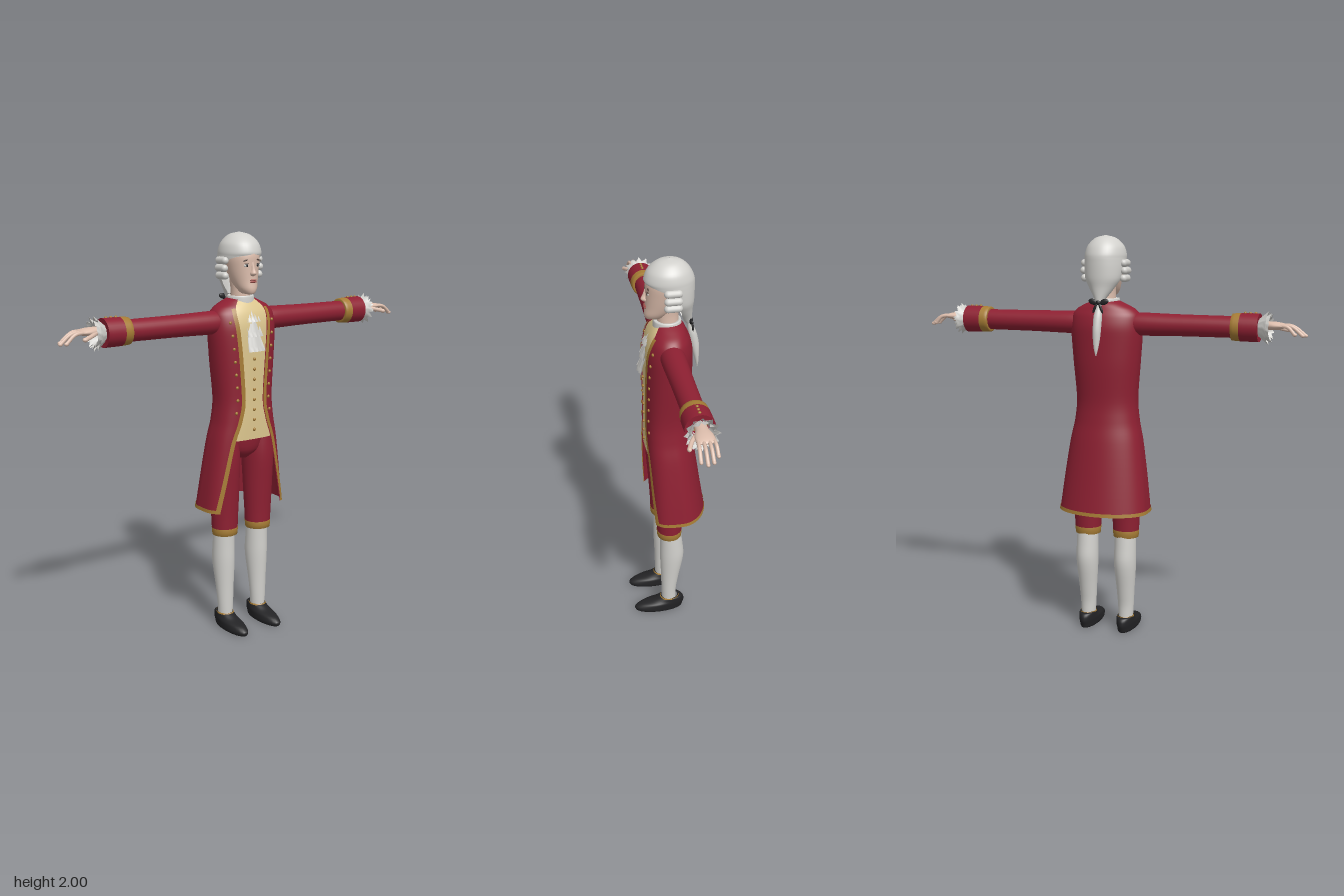
import * as THREE from 'three';
import { mergeVertices } from 'three/addons/utils/BufferGeometryUtils.js';

const PI = Math.PI;
const paint = (name, color, side = THREE.FrontSide) => {
  const m = new THREE.MeshStandardMaterial({ color, side });
  m.name = name;
  return m;
};

// Smooth monotone interpolation of a list of cross-section rows
function sample(rows, t) {
  const last = rows.length - 1, i = Math.min(Math.floor(t), last - 1), f = t - i;
  const slope = (j, k) => {
    const p = j > 0 ? rows[j][k] - rows[j - 1][k] : null;
    const q = j < last ? rows[j + 1][k] - rows[j][k] : null;
    if (p === null) return q;
    if (q === null) return p;
    return p * q <= 0 ? 0 : 2 * p * q / (p + q);
  };
  return rows[i].map((a, k) => {
    const b = rows[i + 1][k], f2 = f * f, f3 = f2 * f;
    return a * (2 * f3 - 3 * f2 + 1) + b * (3 * f2 - 2 * f3)
      + slope(i, k) * (f3 - 2 * f2 + f) + slope(i + 1, k) * (f3 - f2);
  });
}

// Surface from fn(u, v) -> [x, y, z]
function grid(fn, nu, nv) {
  const pos = [], idx = [];
  for (let j = 0; j <= nv; j++) for (let i = 0; i <= nu; i++) pos.push(...fn(i / nu, j / nv, i));
  for (let j = 0; j < nv; j++) for (let i = 0; i < nu; i++) {
    const a = j * (nu + 1) + i, b = a + 1, c = a + nu + 1, d = c + 1;
    idx.push(a, b, d, a, d, c);
  }
  let g = new THREE.BufferGeometry();
  g.setAttribute('position', new THREE.Float32BufferAttribute(pos, 3));
  g.setIndex(idx);
  g = mergeVertices(g, 1e-5);
  g.computeVertexNormals();
  return g;
}

// Row: [y, half width, front z, back z, front squareness, opening]
function ringPoint(r, th, off = 0) {
  const [y, rx, zf, zb, n = 2] = r, s = Math.sin(th), c = Math.cos(th), e = c > 0 ? 2 / n : 1;
  return [(rx + off) * Math.sign(s) * Math.abs(s) ** e, y,
    (zf + zb) / 2 + ((zf - zb) / 2 + off) * Math.sign(c) * Math.abs(c) ** e];
}
const thetaAt = (r, x) => Math.asin(Math.min(1, x / r[1]) ** ((r[4] ?? 2) / 2));

function loft(rows, { seg = 32, per = 4, off = 0, t0 = 0, t1 = rows.length - 1, from = () => 0, to = r => 2 * PI - from(r) } = {}) {
  const nv = Math.max(2, Math.ceil((t1 - t0) * per));
  return grid((u, v) => {
    const r = sample(rows, t0 + (t1 - t0) * v), a = from(r);
    return ringPoint(r, a + (to(r) - a) * u, off);
  }, seg, nv);
}

function findT(rows, y) {
  let a = 0, b = rows.length - 1;
  for (let i = 0; i < 30; i++) {
    const m = (a + b) / 2;
    if (sample(rows, m)[0] < y) a = m; else b = m;
  }
  return a;
}
const frontZ = (rows, x, y) => {
  const r = sample(rows, findT(rows, y));
  return ringPoint(r, thetaAt(r, Math.abs(x)))[2];
};

export function createModel() {
  const red = paint('red cloth', 0x8e2032, THREE.DoubleSide);
  const gold = paint('gold trim', 0xa67c35, THREE.DoubleSide);
  const cream = paint('cream waistcoat', 0xdcc68e, THREE.DoubleSide);
  const white = paint('white linen', 0xd2d1cd, THREE.DoubleSide);
  const skin = paint('skin', 0xdcbdac);
  const black = paint('black', 0x232325);
  const brown = paint('brown brows', 0x55443d);
  const lip = paint('lips', 0xa0524e);

  const model = new THREE.Group();
  model.name = 'courtier';
  const add = (name, geo, mat, parent = model) => {
    const m = new THREE.Mesh(geo, mat);
    m.name = name;
    parent.add(m);
    return m;
  };
  const ball = (name, mat, p, s, parent = model, rz = 0) => {
    const m = add(name, new THREE.SphereGeometry(1, 14, 10), mat, parent);
    m.position.set(...p);
    m.scale.set(...s);
    m.rotation.z = rz;
    return m;
  };

  // Coat, open at the front
  const coat = [
    [.64, .228, .105, -.19, 4, .185], [.8, .21, .11, -.165, 3.6, .15], [1, .182, .114, -.135, 3.2, .105],
    [1.1, .162, .115, -.118, 3, .07], [1.2, .154, .114, -.11, 2.8, .052], [1.4, .17, .115, -.12, 2.6, .065],
    [1.54, .18, .112, -.12, 2.5, .078], [1.61, .174, .098, -.108, 2.4, .085], [1.645, .15, .082, -.092, 2.2, .08],
    [1.67, .105, .066, -.08, 2, .06], [1.69, .06, .05, -.06, 2, .04]];
  const edge = r => thetaAt(r, r[5]), trimEdge = r => thetaAt(r, r[5] + .02);
  add('coat', loft(coat, { seg: 56, per: 5, from: edge }), red);
  add('coatHem', loft(coat, { seg: 56, t1: .11, off: .003, from: edge }), gold);
  add('coatTrimLeft', loft(coat, { seg: 3, t1: 8, per: 5, off: .004, from: edge, to: trimEdge }), gold);
  add('coatTrimRight', loft(coat, { seg: 3, t1: 8, per: 5, off: .004, from: r => 2 * PI - trimEdge(r), to: r => 2 * PI - edge(r) }), gold);

  // Waistcoat and buttons
  const under = r => thetaAt(r, r[5] + .02);
  add('waistcoat', loft(coat, { seg: 24, t0: 2, t1: 9.5, off: -.004, from: r => -under(r), to: under }), cream);
  for (let i = 0; i < 8; i++) {
    const yv = 1.05 + i * .05, yc = 1.14 + i * .063;
    ball('waistcoatButton', gold, [0, yv, frontZ(coat, 0, yv)], [.008, .008, .006]);
    const x = sample(coat, findT(coat, yc))[5] + .04;
    for (const s of [1, -1]) ball('coatButton', gold, [s * x, yc, frontZ(coat, x, yc) + .001], [.008, .008, .006]);
  }

  // Breeches seat
  add('breechesSeat', loft([[.89, .03, .04, -.05], [.94, .11, .08, -.09], [1.05, .14, .095, -.1], [1.15, .13, .09, -.09]]), red);

  // Legs
  for (const s of [1, -1]) {
    const leg = new THREE.Group();
    leg.name = s > 0 ? 'leftLeg' : 'rightLeg';
    leg.position.x = s * .103;
    model.add(leg);
    add('breechesLeg', loft([[.51, .05, .05, -.045], [.51, .064, .066, -.056], [.6, .069, .07, -.062], [.75, .075, .08, -.075], [.9, .077, .09, -.09], [1.02, .06, .085, -.09]]), red, leg);
    add('kneeBand', loft([[.5, .052, .05, -.05], [.502, .064, .067, -.057], [.538, .067, .07, -.06], [.541, .058, .06, -.05]], { per: 2 }), gold, leg);
    add('stocking', loft([[.05, .036, .045, -.032], [.12, .04, .046, -.031], [.22, .046, .048, -.045], [.37, .056, .053, -.071], [.45, .055, .052, -.064], [.53, .053, .052, -.055]]), white, leg);
    add('shoe', loft([[0, .001, .07, .05], [0, .042, .182, -.06], [.018, .048, .193, -.068], [.04, .048, .165, -.075], [.058, .044, .095, -.073], [.076, .041, .055, -.06], [.078, .034, .045, -.04]]), black, leg);
    add('shoeEdge', loft([[.073, .0425, .058, -.05], [.08, .0405, .051, -.045]]), gold, leg);
  }

  // Arms along x
  for (const s of [1, -1]) {
    const arm = new THREE.Group();
    arm.name = s > 0 ? 'leftArm' : 'rightArm';
    arm.position.y = 1.577;
    if (s < 0) arm.rotation.y = PI;
    model.add(arm);
    const along = (name, rows, mat, opt) => add(name, loft(rows.map(([x, a, b = a]) => [x, a, b, -b]), opt).rotateZ(-PI / 2), mat, arm);
    along('sleeve', [[.1, .035], [.13, .054, .056], [.19, .056, .058], [.4, .052, .053], [.64, .051, .05]], red);
    along('cuffBand', [[.63, .048], [.632, .063], [.672, .066]], gold, { per: 2 });
    along('cuff', [[.672, .066], [.76, .067]], red);
    along('cuffEnd', [[.76, .067], [.757, .035]], red, { per: 1 });
    for (let i = 0; i < 3; i++) ball('cuffButton', gold, [.69 + i * .025, .067, 0], [.007, .006, .007], arm);

    // Pleated lace at the wrist
    for (let k = 0; k < 2; k++) {
      const lace = grid((u, v, i) => {
        const a = (i % 24 + k * .5) / 24 * 2 * PI, up = i % 2 ? -1 : 1;
        const r = .034 + v * (.036 - k * .012 + up * .01);
        return [.748 + v * (.052 + k * .012 + up * .004), r * Math.cos(a), r * Math.sin(a)];
      }, 24, 3);
      add('wristLace', lace, white, arm);
    }

    // Hand and fingers
    const palm = along('palm', [[.74, .021, .026], [.79, .02, .029], [.83, .019, .04], [.865, .014, .042], [.885, .006, .034], [.888, .001, .01]], skin);
    palm.position.y = .012;
    const finger = (name, pts, r) => {
      const v = pts.map(p => new THREE.Vector3(p[0], p[1], p[2] * s));
      add(name, new THREE.TubeGeometry(new THREE.CatmullRomCurve3(v), 10, r, 8), skin, arm);
      ball(name + 'Tip', skin, v[v.length - 1].toArray(), [r * 1.3, r, r], arm);
    };
    [[-.032, .93], [-.011, .962], [.011, .972], [.032, .955]].forEach(([z, x]) => {
      const d = x - .865;
      finger('finger', [[.86, .014, z], [.865 + d * .5, .008, z * 1.12], [x, -.012 - d * .18, z * 1.2]], .0085);
    });
    finger('thumb', [[.8, .006, .022], [.84, -.002, .052], [.88, -.012, .07]], .01);
  }

  // Neck, neckcloth and tiered jabot
  add('neck', loft([[1.63, .05, .045, -.06], [1.72, .046, .045, -.055], [1.78, .05, .04, -.06]]), skin);
  add('neckcloth', loft([[1.635, .07, .066, -.072], [1.695, .065, .063, -.069], [1.7, .06, .058, -.064], [1.695, .044, .04, -.05]]), white);
  for (let k = 0; k < 3; k++) {
    const top = 1.655 - k * .07, z0 = [.07, .104, .117][k];
    add('jabotTier', grid((u, v, i) => [
      (u - .5) * 2 * (.026 + k * .005 + v * .014), top - .004 * (i % 2) * v - v * .075 + .0,
      z0 + v * (k ? .024 : .045) + (i % 2 ? -.006 : .006) * v - Math.abs(u - .5) * .02], 8, 3), white);
  }

  // Head and face
  const head = [
    [1.708, .008, .085, .06], [1.712, .026, .098, .02], [1.735, .046, .105, -.01], [1.775, .062, .101, -.05],
    [1.83, .076, .1, -.08], [1.88, .084, .1, -.095], [1.93, .078, .085, -.09], [1.96, .05, .05, -.06]];
  add('head', loft(head), skin);
  add('nose', loft([[1.795, .003, .1, .08], [1.8, .014, .112, .07], [1.81, .016, .121, .07], [1.83, .01, .112, .07], [1.868, .008, .099, .07]], { seg: 16 }), skin);
  for (const [y, h] of [[1.777, .004], [1.769, .005]]) ball('lip', lip, [0, y, frontZ(head, 0, y) + .001], [.02, h, .006]);
  for (const s of [1, -1]) {
    const z = frontZ(head, .032, 1.847);
    ball('eye', white, [s * .032, 1.847, z], [.015, .008, .004]);
    ball('pupil', black, [s * .031, 1.847, z + .003], [.0062, .0068, .003]);
    ball('eyelid', brown, [s * .032, 1.855, z + .001], [.016, .002, .004]);
    ball('brow', brown, [s * .034, 1.872, frontZ(head, .034, 1.872)], [.019, .0035, .004], model, -s * .25);
  }

  // Wig: open around the face, with side rolls and a tied tail
  add('wig', loft([
    [1.668, .012, -.092, -.118, 2, .6], [1.7, .028, -.06, -.12, 2, 1], [1.75, .062, -.005, -.122, 2, 1.5],
    [1.8, .09, .04, -.128, 2, 1.55], [1.86, .099, .085, -.13, 2, 1.3], [1.885, .1, .1, -.13, 2, .85],
    [1.903, .1, .106, -.129, 2, 0], [1.94, .092, .094, -.115, 2, 0], [1.97, .07, .068, -.092, 2, 0],
    [1.99, .042, .034, -.062, 2, 0], [2, .001, -.012, -.014, 2, 0]], { seg: 40, from: r => Math.max(0, r[5]) }), white);
  for (const s of [1, -1]) for (const [i, y] of [1.868, 1.832, 1.796].entries()) {
    const roll = add('sideRoll', new THREE.CapsuleGeometry(.018, .05, 5, 14), white);
    roll.rotation.x = PI / 2;
    roll.position.set(s * (.1 + (i === 1 ? .004 : 0)), y, -.014);
  }
  add('wigTail', loft([[1.43, .002, -.147, -.151], [1.47, .012, -.137, -.156], [1.54, .02, -.118, -.157], [1.61, .021, -.102, -.145], [1.66, .013, -.098, -.125], [1.69, .012, -.095, -.118]], { seg: 18 }), white);
  ball('ribbonKnot', black, [0, 1.682, -.112], [.013, .014, .014]);
  for (const s of [1, -1]) {
    ball('ribbonLoop', black, [s * .028, 1.686, -.112], [.024, .014, .008], model, s * .3);
    ball('ribbonEnd', black, [s * .016, 1.655, -.122], [.007, .024, .005], model, s * .4);
  }
  return model;
}
